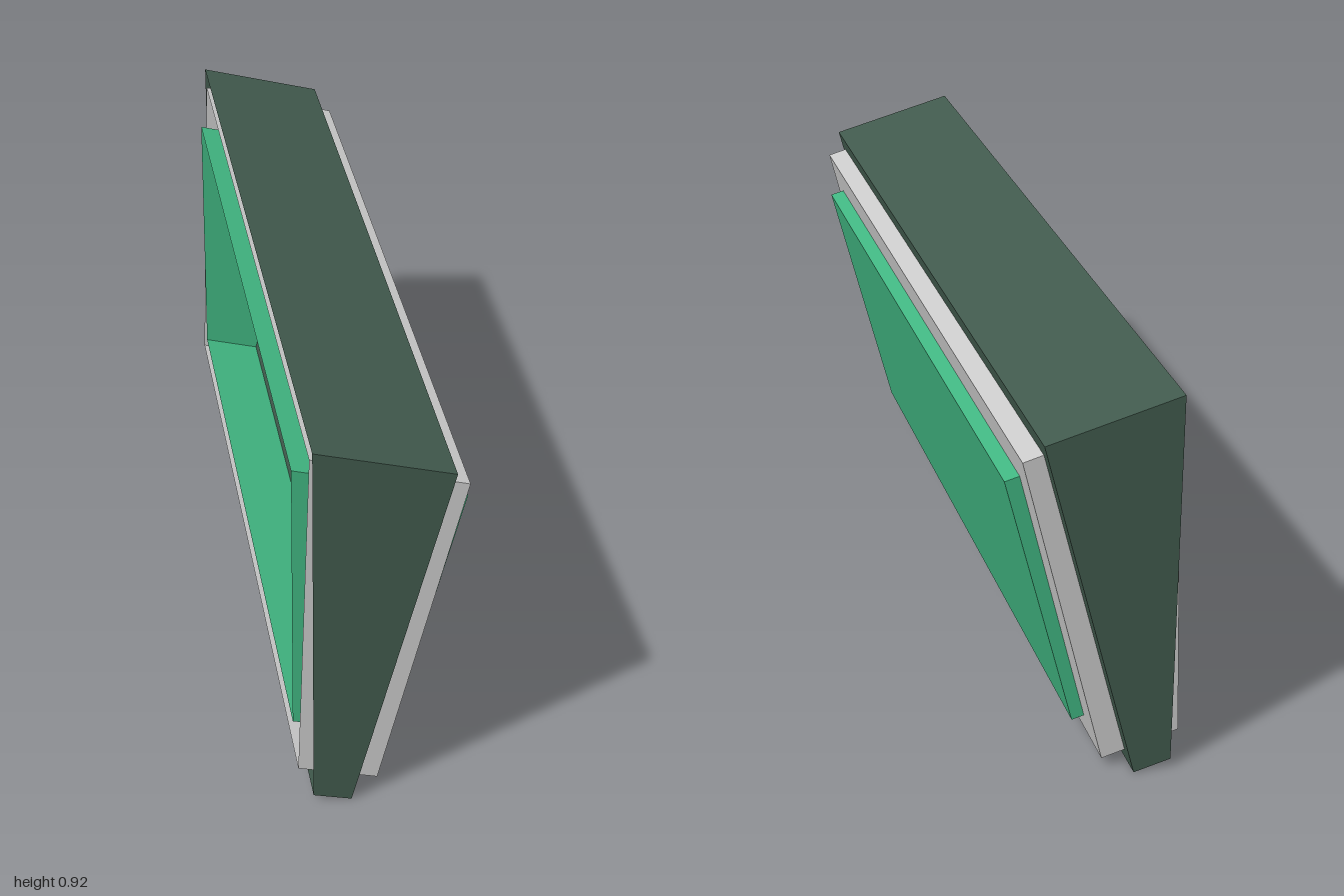
import * as THREE from 'three';

const material = (name, color) => {
  const m = new THREE.MeshStandardMaterial({ color, side: THREE.DoubleSide });
  m.name = name;
  return m;
};

// Hollow wedge running along z, open on its -x side.
// profile: bottom left, bottom right, top right, top left (counter-clockwise in x, y)
function openWedge(name, profile, halfLength, mat) {
  const positions = [];
  const quad = (a, b, c, d) => positions.push(...a, ...b, ...c, ...a, ...c, ...d);
  const front = profile.map(([x, y]) => [x, y, halfLength]);
  const back = profile.map(([x, y]) => [x, y, -halfLength]);

  // bottom, slanted face and top; the fourth edge stays open
  for (let i = 0; i < 3; i++) quad(front[i], back[i], back[i + 1], front[i + 1]);
  // end walls
  quad(...front);
  quad(...back.slice().reverse());

  const geometry = new THREE.BufferGeometry();
  geometry.setAttribute('position', new THREE.Float32BufferAttribute(positions, 3));
  geometry.computeVertexNormals();
  const mesh = new THREE.Mesh(geometry, mat);
  mesh.name = name;
  return mesh;
}

export function createModel() {
  const group = new THREE.Group();
  group.name = 'nestedWedgePanel';

  // Large outer housing
  group.add(openWedge('outerHousing',
    [[-0.163, 0.021], [-0.077, 0], [0.14, 0.843], [-0.165, 0.922]],
    1, material('darkGreen', 0x425b4e)));

  // Pale frame, slightly smaller and pushed through the slanted face
  group.add(openWedge('paleFrame',
    [[-0.192, 0.071], [-0.013, 0.025], [0.176, 0.792], [-0.166, 0.884]],
    0.963, material('paleGrey', 0xcccccc)));

  // Green panel, the smallest and furthest forward
  group.add(openWedge('greenPanel',
    [[-0.192, 0.137], [0.031, 0.08], [0.191, 0.707], [-0.192, 0.806]],
    0.878, material('brightGreen', 0x42b883)));

  return group;
}
